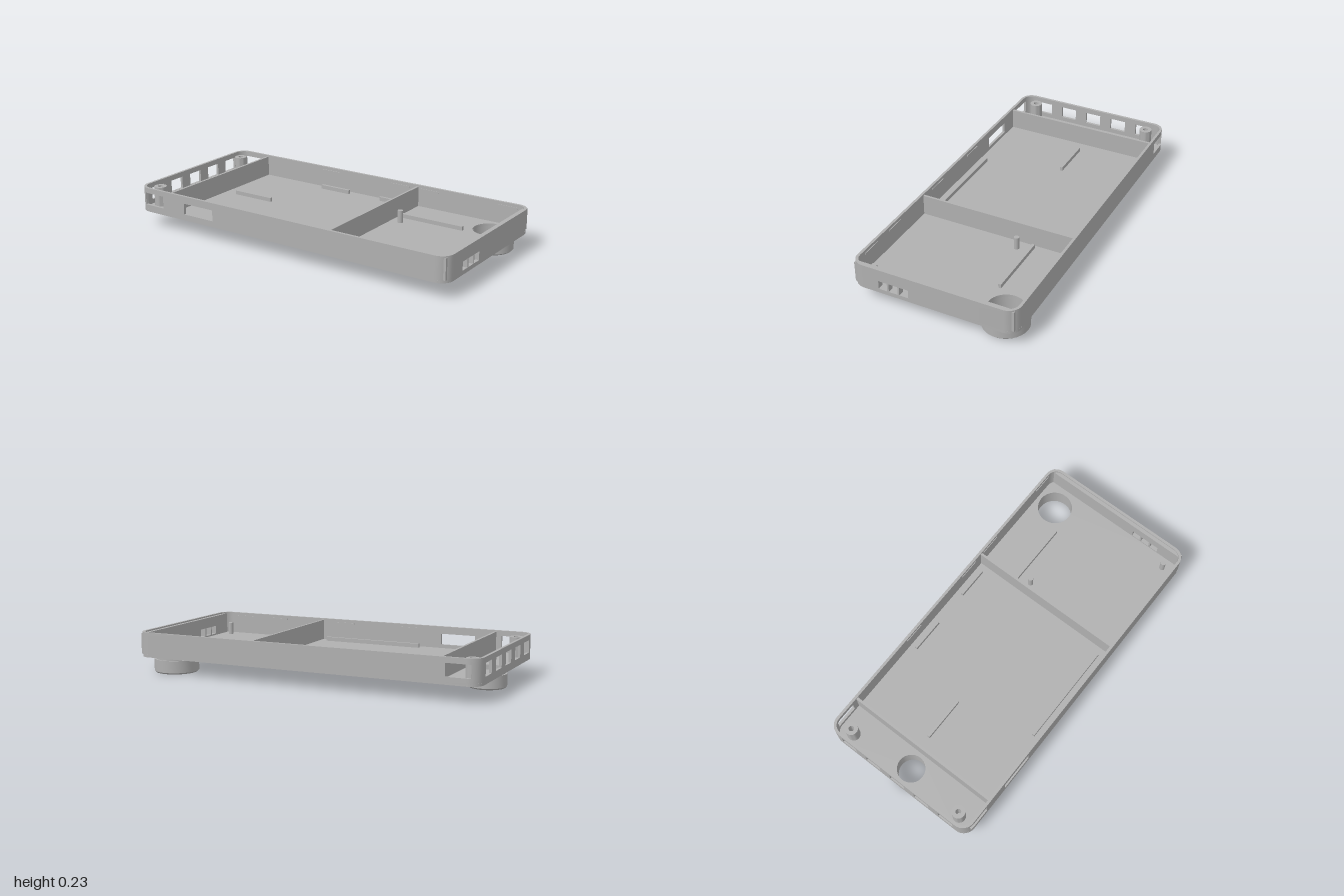
import * as THREE from 'three';
import { toCreasedNormals } from 'three/addons/utils/BufferGeometryUtils.js';

const HX = 1, HZ = 0.467, R = 0.07;            // tray half sizes and corner radius
const BASE = 0.09, FLOOR = 0.105, RIM = 0.23;  // heights
const WALL = 0.015;

export function createModel() {
  const model = new THREE.Group();
  const grey = new THREE.MeshStandardMaterial({ color: 0xb0b0b0 });
  grey.name = 'grey plastic';

  const add = (name, geometry, x = 0, y = 0, z = 0) => {
    const mesh = new THREE.Mesh(geometry, grey);
    mesh.name = name;
    mesh.position.set(x, y, z);
    model.add(mesh);
    return mesh;
  };
  const box = (name, x0, x1, y0, y1, z0, z1) =>
    add(name, new THREE.BoxGeometry(x1 - x0, y1 - y0, z1 - z0), (x0 + x1) / 2, (y0 + y1) / 2, (z0 + z1) / 2);

  // Round feet: hollow collars with a narrower neck, open through the floor
  const feet = [
    { name: 'smallFoot', x: -0.888, z: 0, r: 0.104, bore: 0.077 },
    { name: 'largeFoot', x: 0.835, z: -0.33, r: 0.125, bore: 0.1 },
  ];
  for (const f of feet) {
    const neck = f.r - 0.01;
    const profile = [
      [f.bore, 0], [f.r - 0.008, 0], [f.r, 0.008], [f.r, 0.076],
      [neck, 0.076], [neck, BASE], [f.bore, BASE], [f.bore, 0],
    ].map(([r, y]) => new THREE.Vector2(r, y));
    add(f.name, toCreasedNormals(new THREE.LatheGeometry(profile, 48), 0.6), f.x, 0, f.z);
  }

  // Floor plate with rounded corners and the two round openings
  const plan = new THREE.Shape();
  const cx = HX - R, cz = HZ - R;
  plan.absarc(cx, cz, R, 0, Math.PI / 2);
  plan.absarc(-cx, cz, R, Math.PI / 2, Math.PI);
  plan.absarc(-cx, -cz, R, Math.PI, Math.PI * 1.5);
  plan.absarc(cx, -cz, R, Math.PI * 1.5, Math.PI * 2);
  plan.closePath();
  for (const f of feet) plan.holes.push(new THREE.Path().absarc(f.x, -f.z, f.bore, 0, Math.PI * 2, true));
  const floor = new THREE.ExtrudeGeometry(plan, { depth: FLOOR - BASE, bevelEnabled: false, curveSegments: 16 });
  floor.rotateX(-Math.PI / 2);
  add('floor', toCreasedNormals(floor, 0.6), 0, BASE, 0);

  // Outer wall with its windows
  add('outerWall', wallGeometry());

  // Thicker inner lining of the end wall, pierced by the three ports
  const lining = new THREE.Shape();
  rect(lining, -0.452, 0.452, FLOOR, 0.222);
  for (const [z0, z1] of PORTS) lining.holes.push(rect(new THREE.Path(), -z1, -z0, 0.113, 0.161));
  const liningGeometry = new THREE.ExtrudeGeometry(lining, { depth: 0.021, bevelEnabled: false });
  liningGeometry.rotateY(Math.PI / 2);
  add('endLining', liningGeometry, 0.965, 0, 0);

  // Dividers between the three compartments
  box('leftDivider', -0.789, -0.775, FLOOR, 0.222, -0.453, 0.453);
  box('rightDivider', 0.293, 0.306, FLOOR, 0.222, -0.453, 0.453);

  // Low rails on the floor
  for (const [x0, x1, z] of [
    [-0.34, -0.145, -0.415], [0.07, 0.25, -0.415], [-0.34, 0.25, 0.407],
    [-0.695, -0.44, -0.036], [0.325, 0.713, -0.231],
  ]) box('floorRail', x0, x1, FLOOR, 0.128, z - 0.008, z + 0.008);

  // Small catches just under the rim
  const catchZ = HZ - WALL - 0.001;
  for (const x of [-0.3, 0.185, 0.38, 0.87]) box('rimCatch', x - 0.06, x + 0.06, 0.205, 0.213, -catchZ - 0.003, -catchZ + 0.003);
  for (const x of [-0.25, 0.15, 0.6, 0.83]) box('rimCatch', x - 0.06, x + 0.06, 0.205, 0.213, catchZ - 0.003, catchZ + 0.003);

  // Hollow screw posts
  const post = [[0.015, 0.115], [0.015, FLOOR], [0.036, FLOOR], [0.036, 0.217], [0.015, 0.217], [0.015, 0.115], [0, 0.115]]
    .slice(1).map(([r, y]) => new THREE.Vector2(r, y));
  for (const z of [-0.368, 0.366])
    add('screwPost', toCreasedNormals(new THREE.LatheGeometry(post, 32), 0.6), -0.93, 0, z);

  // Locating pins
  for (const [x, z] of [[0.367, -0.152], [0.905, 0.386]])
    add('locatingPin', new THREE.CylinderGeometry(0.015, 0.015, 0.07, 24), x, FLOOR + 0.035, z);

  return model;
}

// z ranges of the ports in the +x wall
const PORTS = [[0.255, 0.305], [0.193, 0.245], [0.132, 0.184]];

function rect(path, x0, x1, y0, y1) {
  path.moveTo(x0, y0);
  path.lineTo(x1, y0);
  path.lineTo(x1, y1);
  path.lineTo(x0, y1);
  path.closePath();
  return path;
}

// Wall as a strip of cells bent round the plan; cells inside a window are left out
function wallGeometry() {
  const LX = 2 * (HX - R), LZ = 2 * (HZ - R), ARC = R * Math.PI / 2;
  const P = 2 * (LX + LZ) + 4 * ARC;
  const mod = s => ((s % P) + P) % P;
  const front = x => x + LX / 2;
  const right = z => LX + ARC + LZ / 2 - z;
  const back = x => LX + LZ + 2 * ARC + LX / 2 - x;
  const left = z => 2 * LX + LZ + 3 * ARC + LZ / 2 + z;

  const windows = [
    [front(-0.955), front(-0.82), 0.13, 0.2],
    [back(-0.82), back(-0.955), 0.13, 0.2],
    [front(-0.665), front(-0.46), 0.125, 0.188],
    ...PORTS.map(([z0, z1]) => [right(z1), right(z0), 0.113, 0.161]),
    ...[-2, -1, 0, 1, 2].map(i => [left(i * 0.165 - 0.048), left(i * 0.165 + 0.048), 0.13, 0.2]),
  ];

  // Point on the plan at distance s, moved inward by inset
  const sides = [LX, LZ, LX, LZ];
  const centres = [[1, 1], [1, -1], [-1, -1], [-1, 1]];
  const point = (s, inset, y) => {
    s = mod(s);
    for (let i = 0; i < 4; i++) {
      const [sx, sz] = centres[i];
      const onArc = s > sides[i];
      const a = i * Math.PI / 2 + (onArc ? Math.min((s - sides[i]) / R, Math.PI / 2) : 0);
      const rest = onArc ? 0 : sides[i] - s;
      if (s <= sides[i] + ARC + 1e-9) {
        const r = R - inset;
        return [
          sx * (HX - R) + Math.sin(a) * r - Math.cos(i * Math.PI / 2) * rest, y,
          sz * (HZ - R) + Math.cos(a) * r + Math.sin(i * Math.PI / 2) * rest,
        ];
      }
      s -= sides[i] + ARC;
    }
    return [-(HX - R), y, HZ - inset];
  };

  const stations = windows.flatMap(w => [mod(w[0]), mod(w[1])]);
  let start = 0;
  for (const side of sides) {
    stations.push(start);
    for (let k = 0; k < 8; k++) stations.push(start + side + ARC * k / 8);
    start += side + ARC;
  }
  const unique = list => list.sort((a, b) => a - b).filter((v, i) => i === 0 || v - list[i - 1] > 1e-6);
  const S = unique(stations), n = S.length;
  const Y = unique([FLOOR, RIM, ...windows.flatMap(w => [w[2], w[3]])]), m = Y.length - 1;
  const end = i => (i + 1 < n ? S[i + 1] : P);

  const solid = (i, j) => {
    if (j < 0 || j >= m) return false;
    i = (i + n) % n;
    const s = (S[i] + end(i)) / 2, y = (Y[j] + Y[j + 1]) / 2;
    return !windows.some(w => mod(s - w[0]) < w[1] - w[0] && y > w[2] && y < w[3]);
  };

  const positions = [];
  const quad = (a, b, c, d) => positions.push(...a, ...b, ...c, ...a, ...c, ...d);
  for (let i = 0; i < n; i++) for (let j = 0; j < m; j++) {
    if (!solid(i, j)) continue;
    const corner = inset => [
      point(S[i], inset, Y[j]), point(end(i), inset, Y[j]),
      point(end(i), inset, Y[j + 1]), point(S[i], inset, Y[j + 1]),
    ];
    const o = corner(0), q = corner(WALL);
    quad(o[0], o[1], o[2], o[3]);
    quad(q[1], q[0], q[3], q[2]);
    if (!solid(i, j + 1)) quad(o[3], o[2], q[2], q[3]);
    if (!solid(i, j - 1)) quad(o[1], o[0], q[0], q[1]);
    if (!solid(i - 1, j)) quad(o[0], o[3], q[3], q[0]);
    if (!solid(i + 1, j)) quad(o[2], o[1], q[1], q[2]);
  }
  const geometry = new THREE.BufferGeometry();
  geometry.setAttribute('position', new THREE.Float32BufferAttribute(positions, 3));
  return toCreasedNormals(geometry, 0.6);
}
